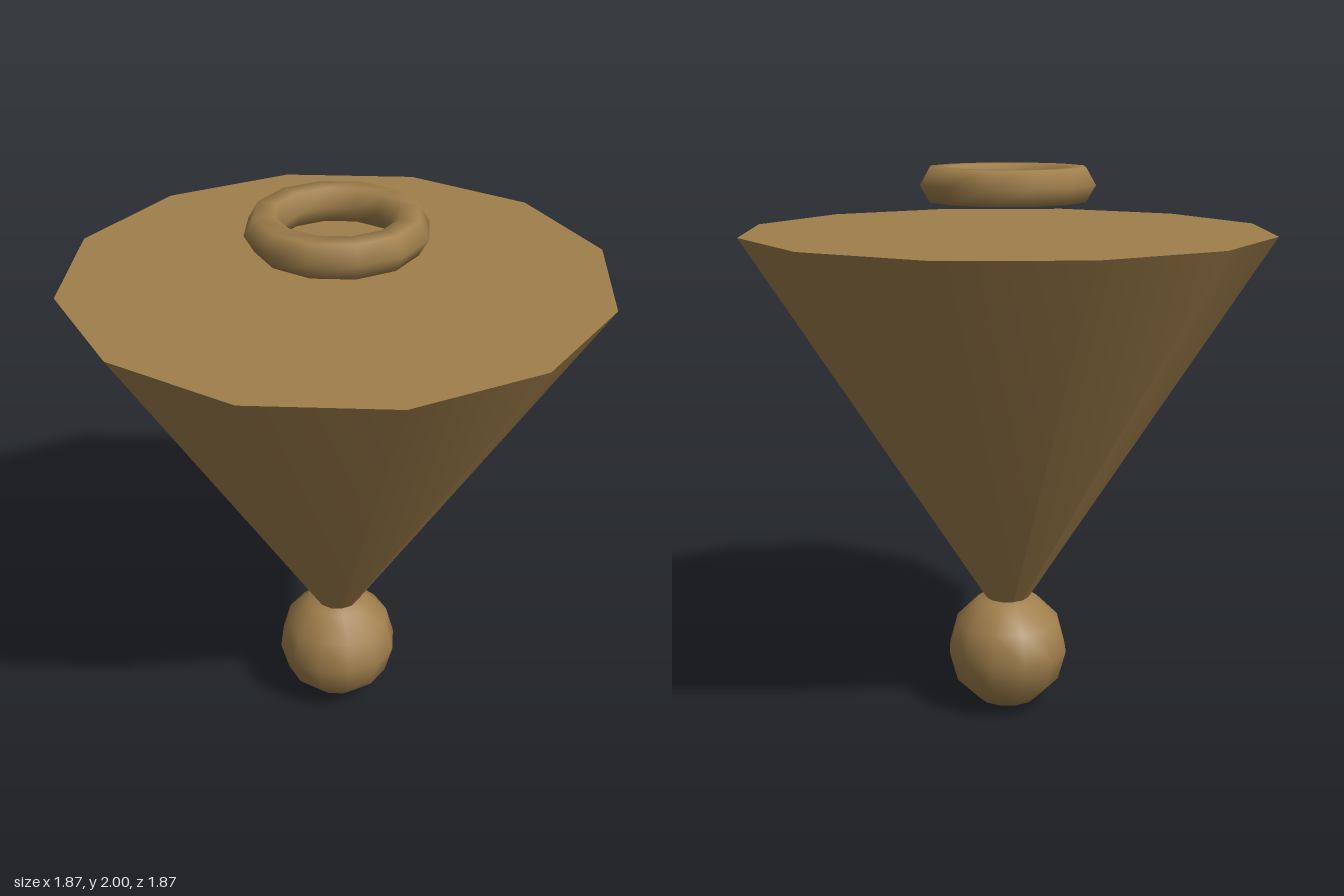
import * as THREE from 'three';

export function createModel() {
  const model = new THREE.Group();
  const material = new THREE.MeshStandardMaterial({ color: 0xa07f4c });

  const addPart = (name, geometry, y) => {
    const mesh = new THREE.Mesh(geometry, material);
    mesh.name = name;
    mesh.position.y = y;
    model.add(mesh);
  };

  // Ball at the foot
  const ballRadius = 0.224;
  addPart('ball', new THREE.SphereGeometry(ballRadius, 12, 6), ballRadius);

  // Inverted cone, its tip sunk into the ball
  const coneTop = 1.78, coneTip = 0.3;
  const coneHeight = coneTop - coneTip;
  addPart('cone', new THREE.CylinderGeometry(0.937, 0, coneHeight, 12), coneTip + coneHeight / 2);

  // Ring floating flat above the cone
  const tube = 0.068;
  const ring = new THREE.TorusGeometry(0.244, tube, 6, 12).rotateX(Math.PI / 2);
  addPart('ring', ring, 2 - tube * Math.sin(Math.PI / 3));

  return model;
}
